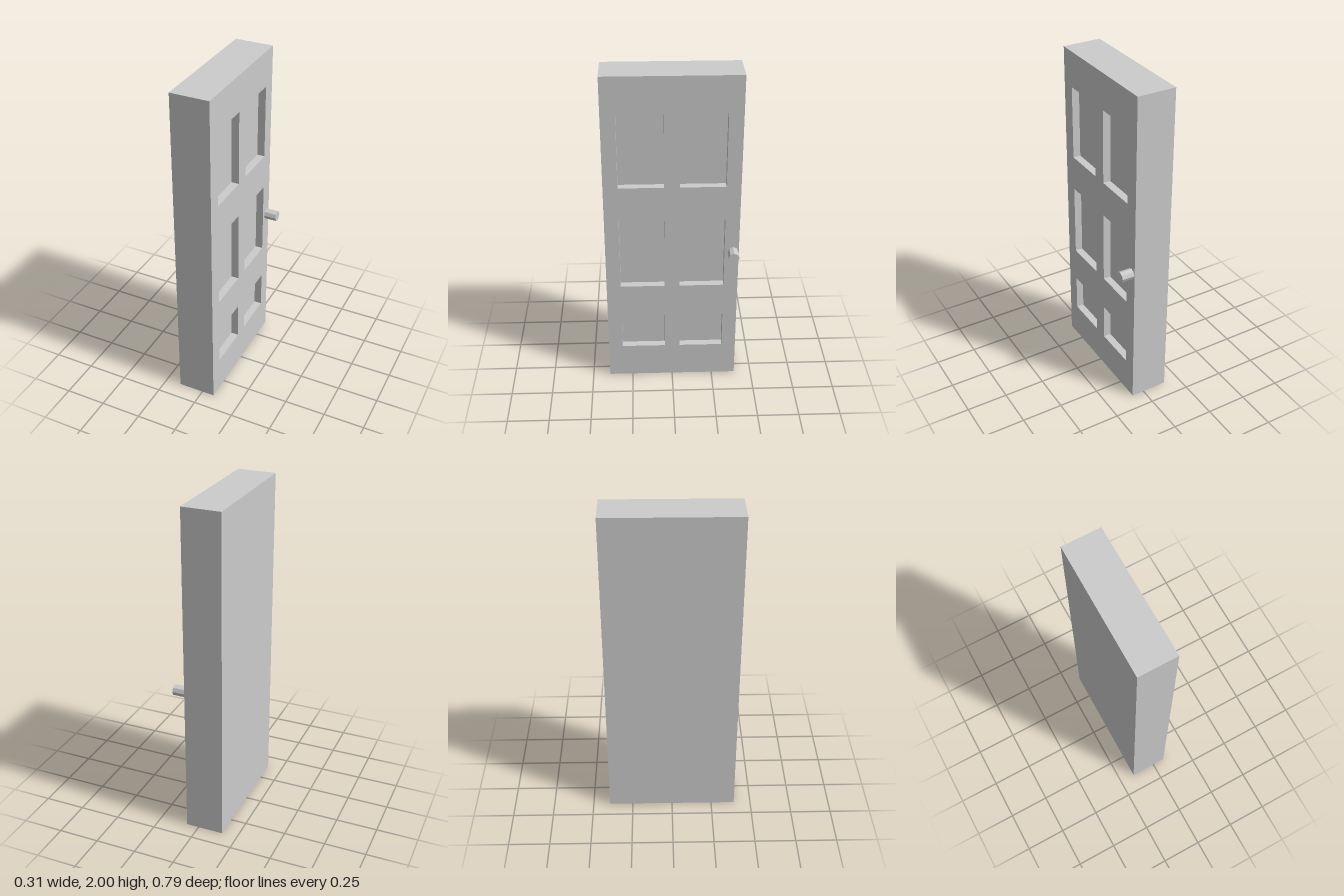
import * as THREE from 'three';

const HEIGHT = 2, WIDTH = 0.79;
const BACK = -0.154, FRONT = 0.077, RECESS = 0.046;

function rectangle(target, x0, x1, y0, y1) {
  target.moveTo(x0, y0);
  target.lineTo(x1, y0);
  target.lineTo(x1, y1);
  target.lineTo(x0, y1);
  target.closePath();
  return target;
}

export function createModel() {
  const group = new THREE.Group();
  group.name = 'panelledDoor';
  const material = new THREE.MeshStandardMaterial({ color: 0xcccccc, flatShading: true });

  const add = (name, geometry, x, y, z) => {
    const mesh = new THREE.Mesh(geometry, material);
    mesh.name = name;
    mesh.position.set(x, y, z);
    group.add(mesh);
  };

  // Solid slab behind the recesses; its front forms the panel floors
  const slab = FRONT - RECESS - BACK;
  add('doorSlab', new THREE.BoxGeometry(slab, HEIGHT, WIDTH), BACK + slab / 2, HEIGHT / 2, 0);

  // Face frame with two columns of three rectangular openings
  const frame = rectangle(new THREE.Shape(), -WIDTH / 2, WIDTH / 2, 0, HEIGHT);
  for (const [bottom, top] of [[0.22, 0.45], [0.667, 1.118], [1.333, 1.784]]) {
    for (const [left, right] of [[-0.31, -0.045], [0.045, 0.31]]) {
      frame.holes.push(rectangle(new THREE.Path(), left, right, bottom, top));
    }
  }
  const frameGeometry = new THREE.ExtrudeGeometry(frame, { depth: RECESS, bevelEnabled: false });
  frameGeometry.rotateY(Math.PI / 2);
  add('doorFrame', frameGeometry, FRONT - RECESS, 0, 0);

  // Eight-sided knob near the door's edge
  const knob = new THREE.CylinderGeometry(0.032, 0.032, 0.076, 8).rotateZ(-Math.PI / 2);
  add('doorKnob', knob, FRONT + 0.038, 0.9, -0.36);

  return group;
}
